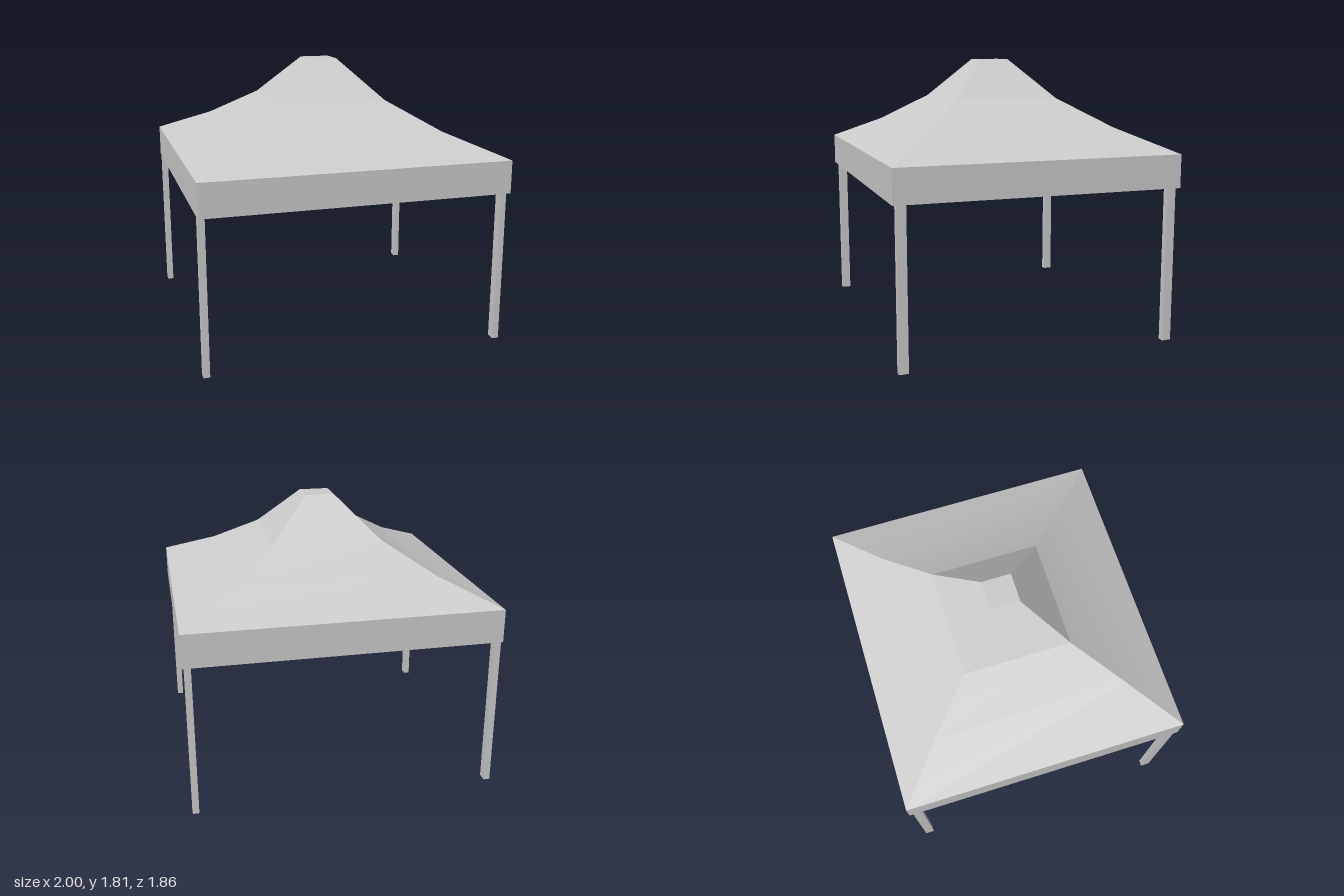
import * as THREE from 'three';

const grey = new THREE.MeshStandardMaterial({ color: 0xcccccc });
const cloth = new THREE.MeshStandardMaterial({ color: 0xcccccc, side: THREE.DoubleSide });
const corners = [[-1, 1], [1, 1], [1, -1], [-1, -1]];

// One side panel (0 front, 1 left, 2 back, 3 right) through rings of [halfX, halfZ, y],
// smooth along its height and sharp at its borders
function panel(name, rings, side) {
  const a = corners[side], b = corners[(side + 1) % 4];
  const pos = [], index = [];
  rings.forEach(([hx, hz, y], i) => {
    pos.push(a[0] * hx, y, a[1] * hz, b[0] * hx, y, b[1] * hz);
    if (i > 0) {
      const p = 2 * (i - 1);
      index.push(p, p + 1, p + 3, p, p + 3, p + 2);
    }
  });
  const geo = new THREE.BufferGeometry();
  geo.setAttribute('position', new THREE.Float32BufferAttribute(pos, 3));
  geo.setIndex(index);
  geo.computeVertexNormals();
  const mesh = new THREE.Mesh(geo, cloth);
  mesh.name = name;
  return mesh;
}

function box(name, w, h, d, x, y, z) {
  const mesh = new THREE.Mesh(new THREE.BoxGeometry(w, h, d), grey);
  mesh.name = name;
  mesh.position.set(x, y, z);
  return mesh;
}

export function createModel() {
  const model = new THREE.Group();
  model.name = 'canopyTent';

  const eave = [1, 0.93, 1.22];
  const middle = [0.65, 0.63, 1.37];
  const shoulder = [0.355, 0.35, 1.55];
  const peak = [0.097, 0.096, 1.81];

  // Cloth: hanging valance, swept lower roof, steep upper roof
  for (let s = 0; s < 4; s++) {
    model.add(
      panel('valance', [[1, 0.93, 1.005], eave], s),
      panel('lowerRoof', [eave, middle, shoulder], s),
      panel('upperRoof', [shoulder, peak], s)
    );
  }

  // Flat cap on the peak
  const cap = new THREE.Mesh(new THREE.PlaneGeometry(2 * peak[0], 2 * peak[1]), cloth);
  cap.name = 'roofCap';
  cap.rotation.x = -Math.PI / 2;
  cap.position.y = peak[2];
  model.add(cap);

  // Legs, reaching up behind the valance
  const legTop = 1.19;
  for (const x of [-0.977, 0.963]) {
    for (const z of [-0.876, 0.876]) {
      model.add(box('leg', 0.041, legTop, 0.06, x, legTop / 2, z));
    }
  }

  // Thin rails joining the leg tops under the eaves
  for (const z of [-0.9, 0.9]) model.add(box('crossRail', 1.94, 0.07, 0.015, -0.007, 1.155, z));
  for (const x of [-0.977, 0.963]) model.add(box('sideRail', 0.015, 0.07, 1.75, x, 1.155, 0));

  return model;
}
